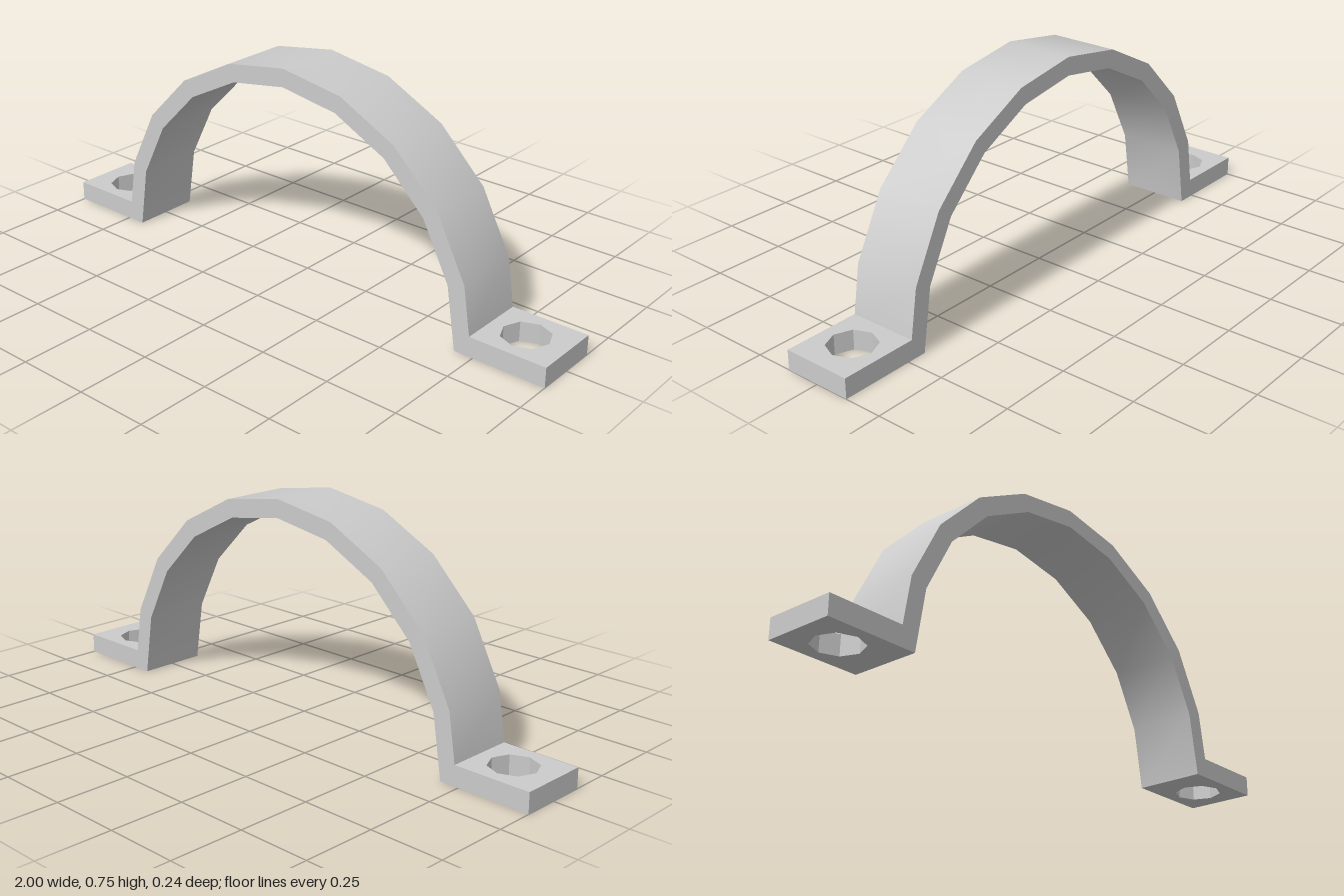
import * as THREE from 'three';
import { toCreasedNormals } from 'three/addons/utils/BufferGeometryUtils.js';

const WIDTH = 0.24;        // strap width along z
const THICK = 0.068;       // foot thickness
const R_OUT = 0.745, R_IN = 0.683;
const SEGMENTS = 10;       // facets over the half circle
const STEP = Math.PI / SEGMENTS;

// where the outermost facet of the arch meets the top of the foot
const JOIN = R_OUT - THICK * Math.tan(STEP / 2);

// drop the hidden walls where strap and feet meet, then shade
function finish(geometry) {
  const src = geometry.toNonIndexed ? (geometry.index ? geometry.toNonIndexed() : geometry) : geometry;
  const p = src.attributes.position;
  const kept = [];
  for (let i = 0; i < p.count; i += 3) {
    const hidden = [0, 1, 2].every((k) => Math.abs(Math.abs(p.getX(i + k)) - JOIN) < 1e-5);
    if (hidden) continue;
    for (let k = 0; k < 3; k++) kept.push(p.getX(i + k), p.getY(i + k), p.getZ(i + k));
  }
  const out = new THREE.BufferGeometry();
  out.setAttribute('position', new THREE.Float32BufferAttribute(kept, 3));
  return toCreasedNormals(out, 0.5);
}

// half-circle band, smooth around the curve with crisp edges
function strapGeometry() {
  const at = (r, i) => new THREE.Vector2(r * Math.cos(i * STEP), r * Math.sin(i * STEP));
  const pts = [new THREE.Vector2(JOIN, 0), new THREE.Vector2(JOIN, THICK)];
  for (let i = 1; i < SEGMENTS; i++) pts.push(at(R_OUT, i));
  pts.push(new THREE.Vector2(-JOIN, THICK), new THREE.Vector2(-JOIN, 0));
  for (let i = SEGMENTS; i >= 0; i--) pts.push(at(R_IN, i));
  const g = new THREE.ExtrudeGeometry(new THREE.Shape(pts), { depth: WIDTH, bevelEnabled: false });
  g.translate(0, 0, -WIDTH / 2);
  return finish(g);
}

// flat mounting tab with an eight-sided screw hole
function footGeometry(side) {
  const h = WIDTH / 2;
  const shape = new THREE.Shape(
    [[JOIN, -h], [1, -h], [1, h], [JOIN, h]].map(([x, y]) => new THREE.Vector2(side * x, y))
  );
  const hole = [];
  for (let i = 0; i < 8; i++) {
    const a = (i * Math.PI) / 4;
    hole.push(new THREE.Vector2(side * 0.858 + 0.08 * Math.cos(a), 0.08 * Math.sin(a)));
  }
  shape.holes.push(new THREE.Path(hole));
  const g = new THREE.ExtrudeGeometry(shape, { depth: THICK, bevelEnabled: false });
  g.rotateX(-Math.PI / 2);
  return finish(g);
}

export function createModel() {
  const model = new THREE.Group();
  model.name = 'pipeClamp';
  const material = new THREE.MeshStandardMaterial({ color: 0xcccccc });
  const add = (name, geometry) => {
    const mesh = new THREE.Mesh(geometry, material);
    mesh.name = name;
    model.add(mesh);
  };

  add('archStrap', strapGeometry());
  add('leftFoot', footGeometry(1));
  add('rightFoot', footGeometry(-1));
  return model;
}
